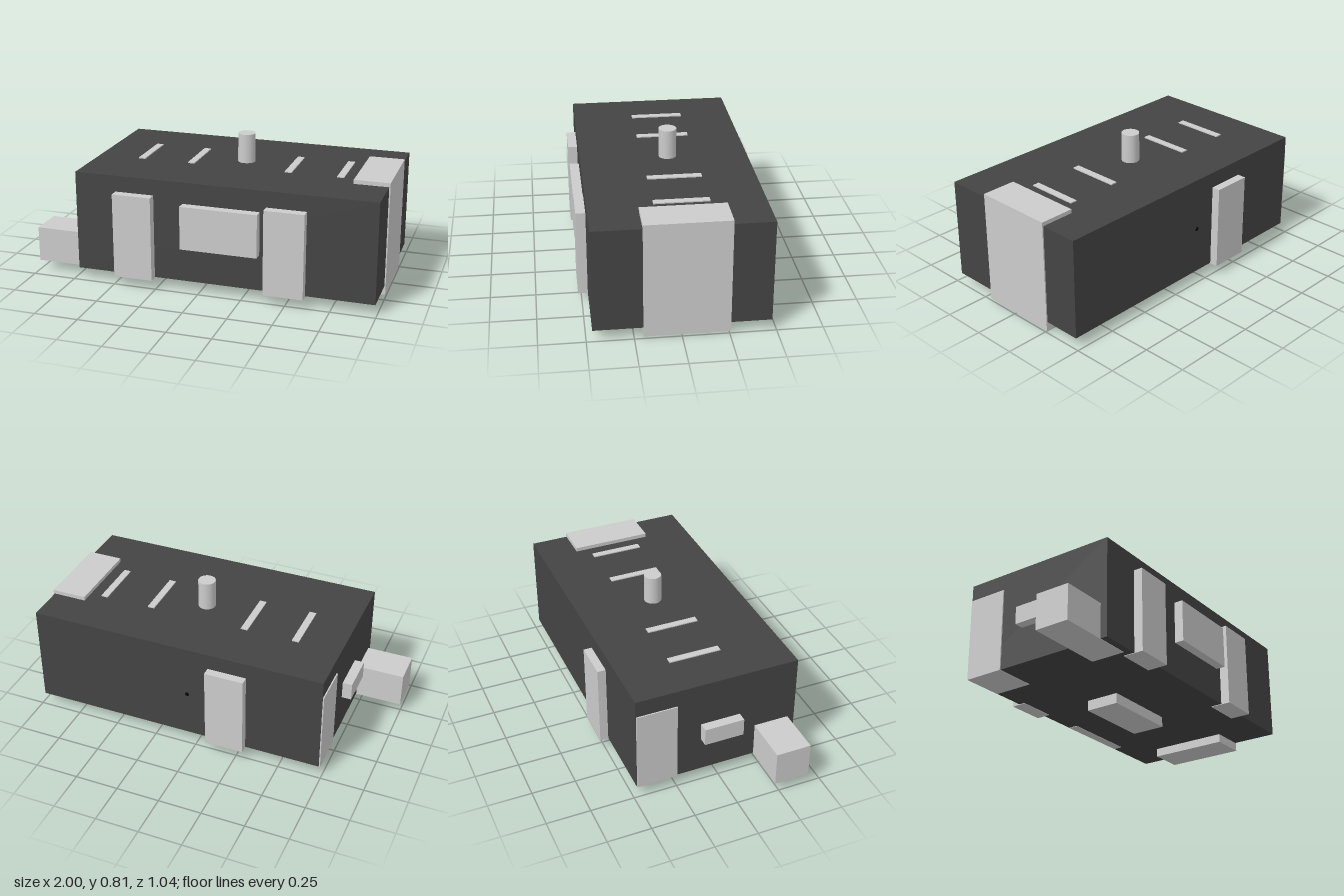
import * as THREE from 'three';

export function createModel() {
  const model = new THREE.Group();
  const grey = new THREE.MeshStandardMaterial({ color: 0xcccccc });
  const dark = new THREE.MeshStandardMaterial({ color: 0x444444 });
  const black = new THREE.MeshStandardMaterial({ color: 0x080808 });

  const add = (name, geometry, material, x, y, z) => {
    const mesh = new THREE.Mesh(geometry, material);
    mesh.name = name;
    mesh.position.set(x, y, z);
    model.add(mesh);
    return mesh;
  };
  // Box given by its extents along each axis
  const box = (name, [x0, x1], [y0, y1], [z0, z1], material = grey) =>
    add(name, new THREE.BoxGeometry(x1 - x0, y1 - y0, z1 - z0), material,
      (x0 + x1) / 2, (y0 + y1) / 2, (z0 + z1) / 2);

  // Main housing
  box('housing', [-0.73, 0.99], [0.06, 0.637], [-0.477, 0.467], dark);

  // Upright pads on the front and back, and the front panel
  box('frontPadRight', [-0.49, -0.265], [0.057, 0.545], [0.4, 0.52]);
  box('frontPadLeft', [0.38, 0.605], [0.057, 0.545], [0.4, 0.52]);
  box('frontPanel', [-0.095, 0.345], [0.267, 0.515], [0.4, 0.52]);
  box('backPad', [-0.295, -0.07], [0.057, 0.545], [-0.525, -0.44]);

  // Block wrapping the left end
  box('endBlock', [0.795, 0.997], [0.01, 0.66], [-0.258, 0.202]);

  // Parts on the right end
  box('sideConnector', [-1, -0.53], [0.057, 0.26], [0.225, 0.427]);
  box('sideButton', [-0.785, -0.7], [0.27, 0.373], [-0.1, 0.13]);
  box('cornerPlate', [-0.737, -0.49], [0.057, 0.54], [-0.474, -0.24]);

  // Underside foot and flush strip
  box('foot', [-0.105, 0.355], [0, 0.1], [-0.127, 0.075]);
  box('undersideStrip', [0.17, 0.63], [0.057, 0.1], [-0.474, -0.42]);

  // Raised bars on the top
  for (const x of [-0.467, -0.165, 0.408, 0.706]) {
    box('topBar', [x - 0.02, x + 0.02], [0.6, 0.643], [-0.18, 0.12]);
  }

  // Round post on the top
  add('topPost', new THREE.CylinderGeometry(0.05, 0.05, 0.205, 32), grey, 0.123, 0.7025, -0.027);

  // Tiny pin on the back
  add('backPin', new THREE.CylinderGeometry(0.012, 0.012, 0.02, 16), black, 0.057, 0.332, -0.469)
    .rotation.x = Math.PI / 2;

  return model;
}
